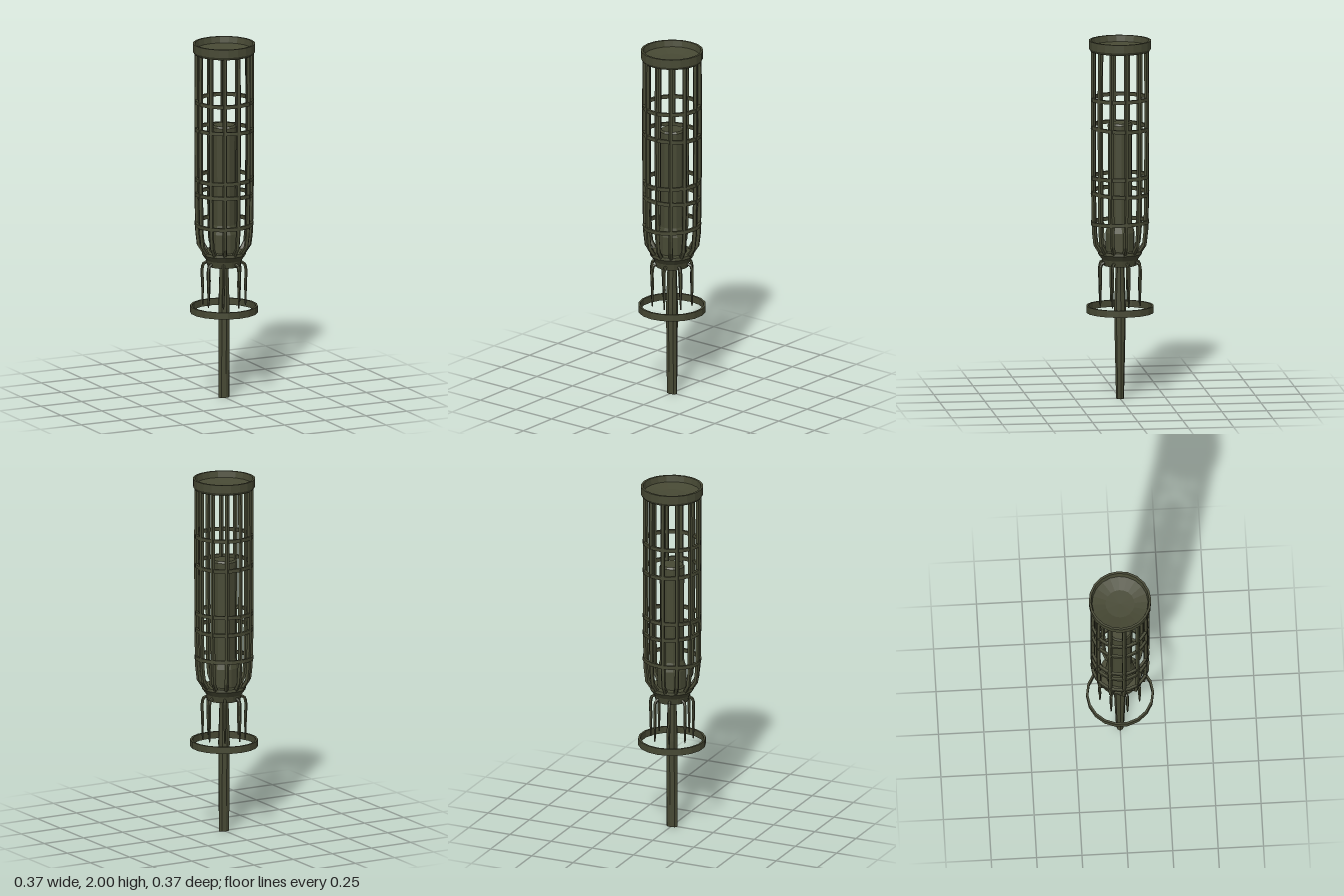
import * as THREE from 'three';

const mat = new THREE.MeshStandardMaterial({ color: 0x474934, flatShading: true });
mat.name = 'dark olive metal';

const V = (x, y, z) => new THREE.Vector3(x, y, z);
const polar = (r, a, y) => V(r * Math.sin(a), y, r * Math.cos(a));

function add(parent, name, geometry) {
  const mesh = new THREE.Mesh(geometry, mat);
  mesh.name = name;
  parent.add(mesh);
  return mesh;
}

// Profiles run from bottom to top along the outside
function lathe(profile, sides) {
  return new THREE.LatheGeometry(profile.map(([r, y]) => new THREE.Vector2(r, y)), sides);
}

// Thin closed band with a rectangular section
function band(outer, inner, height, sides) {
  const h = height / 2;
  return lathe([[inner, -h], [outer, -h], [outer, h], [inner, h], [inner, -h]], sides);
}

export function createModel() {
  const model = new THREE.Group();
  model.name = 'torch';

  // Shallow dish on top
  add(model, 'topDish', lathe([[0, 1.94], [0.162, 1.94], [0.172, 1.955], [0.172, 2],
    [0.16, 2], [0.154, 1.965], [0.08, 1.95], [0, 1.948]], 20));

  // Cage of upright bars that curve in at the foot
  const cage = new THREE.Group();
  cage.name = 'cage';
  model.add(cage);
  const barCount = 12;
  for (let i = 0; i < barCount; i++) {
    const a = (i / barCount) * Math.PI * 2 + 0.1;
    const path = new THREE.CatmullRomCurve3([
      polar(0.151, a, 1.95), polar(0.152, a, 1.5), polar(0.148, a, 1.0),
      polar(0.141, a, 0.875), polar(0.122, a, 0.825), polar(0.1, a, 0.805),
    ]);
    add(cage, 'cageBar', new THREE.TubeGeometry(path, 16, 0.013, 5));
  }

  // Slightly uneven hoops round the cage
  const hoops = [[1.675, 0.01], [1.515, -0.03], [1.24, 0.02], [1.15, -0.03], [0.985, 0.03]];
  for (const [y, tilt] of hoops) {
    const hoop = add(cage, 'cageHoop', band(0.162, 0.147, 0.02, 24));
    hoop.position.y = y;
    hoop.rotation.set(tilt, 0, tilt);
  }

  // Core tube inside the cage
  add(model, 'coreTube', lathe([[0, 0.8], [0.08, 0.82], [0.08, 0.93], [0.066, 0.98],
    [0.068, 1.53], [0.06, 1.54], [0, 1.54]], 12));

  // Collar that carries the cage
  add(model, 'collar', lathe([[0, 0.74], [0.092, 0.745], [0.1, 0.78], [0.122, 0.81],
    [0.12, 0.826], [0, 0.826]], 16));

  // Thin prongs hanging from the collar
  const prongCount = 8;
  for (let i = 0; i < prongCount; i++) {
    const a = (i / prongCount) * Math.PI * 2 + 0.3;
    const prong = new THREE.Group();
    prong.name = 'prong';
    model.add(prong);
    const path = new THREE.CatmullRomCurve3([
      polar(0.085, a, 0.765), polar(0.11, a, 0.757), polar(0.118, a, 0.735), polar(0.118, a, 0.64),
    ]);
    add(prong, 'prongStem', new THREE.TubeGeometry(path, 10, 0.009, 5));
    const tip = add(prong, 'prongTip', new THREE.CylinderGeometry(0.009, 0.004, 0.12, 5));
    tip.position.copy(polar(0.118, a, 0.582));
  }

  // Free hoop below the prongs
  const guard = add(model, 'guardHoop', band(0.187, 0.175, 0.038, 18));
  guard.position.y = 0.5;

  // Handle: a box-like shaft, widest below the guard
  const shaft = new THREE.CylinderGeometry(1, 1, 0.76, 8, 6);
  const pos = shaft.attributes.position;
  for (let i = 0; i < pos.count; i++) {
    const y = pos.getY(i) + 0.38;
    const upper = Math.max(0, (y - 0.5) / 0.26);
    const w = 0.033 - 0.007 * upper;
    const d = 0.022 + 0.011 * Math.min(1, y / 0.5) - 0.01 * upper;
    pos.setXYZ(i, pos.getX(i) * w, y, pos.getZ(i) * d);
  }
  shaft.computeVertexNormals();
  add(model, 'handle', shaft);

  return model;
}
